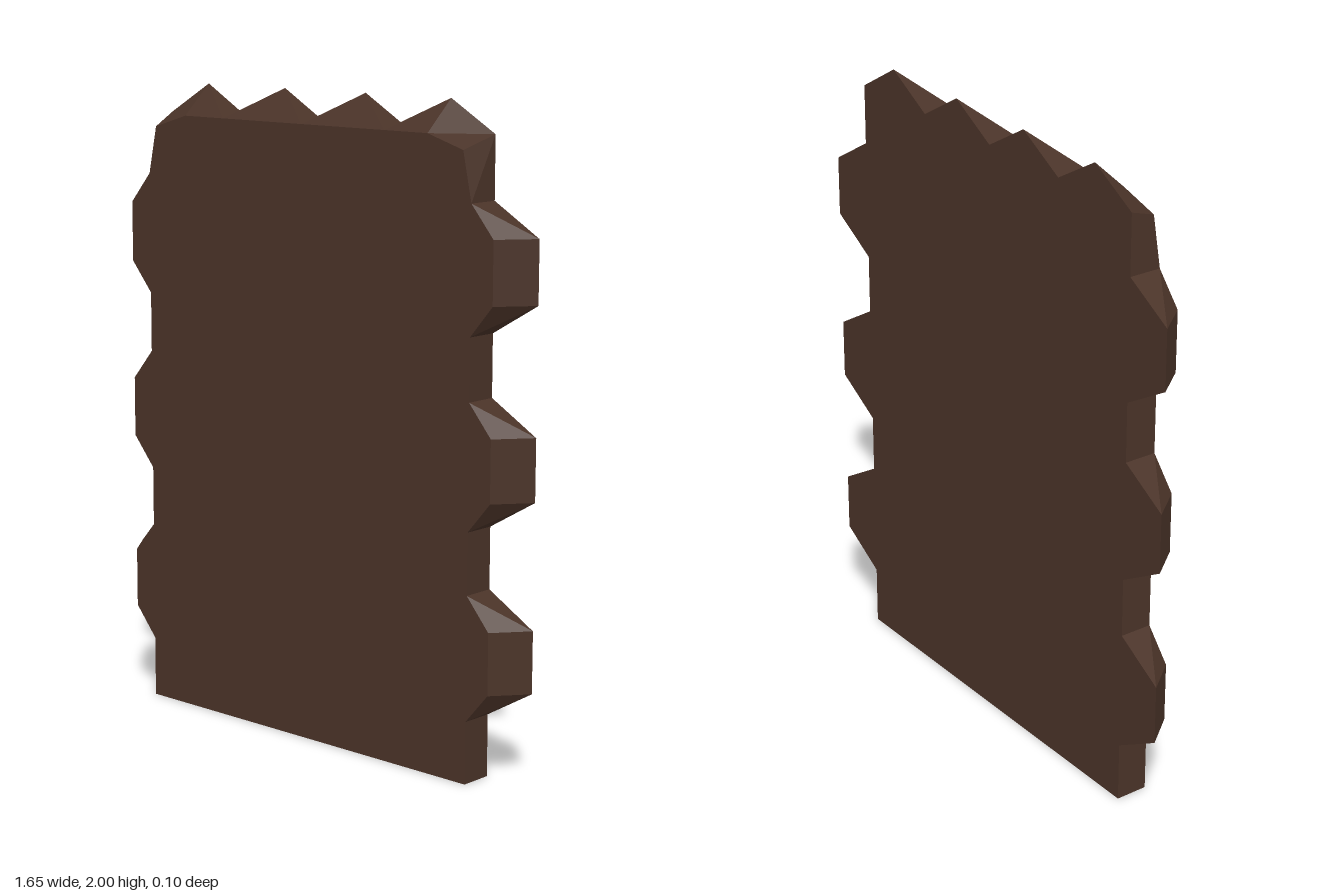
import * as THREE from 'three';

const DEPTH = 0.052; // half thickness

// Right half of the outline, bottom to top centre: [back x, back y, front x, front y]
function halfOutline() {
  const pts = [];
  const notch = (x, y) => pts.push([x, y, x, y]);
  notch(0.66, 0);
  // three bevelled side teeth
  for (let i = 0; i < 3; i++) {
    const y = 0.192 + i * 0.571;
    notch(0.66, y);
    pts.push([0.824, y + 0.096, 0.742, y + 0.096]);
    pts.push([0.824, y + 0.286, 0.742, y + 0.286]);
    notch(0.66, y + 0.382);
  }
  // top corner and roof-like teeth
  pts.push([0.66, 1.905, 0.628, 1.865]);
  pts.push([0.495, 2, 0.495, 1.905]);
  notch(0.33, 1.905);
  pts.push([0.165, 2, 0.165, 1.905]);
  notch(0, 1.905);
  return pts;
}

function slabGeometry() {
  const half = halfOutline();
  const mirrored = half.slice(0, -1).reverse().map(([a, b, c, d]) => [-a, b, -c, d]);
  const loop = half.concat(mirrored);
  const back = loop.map(p => new THREE.Vector3(p[0], p[1], -DEPTH));
  const front = loop.map(p => new THREE.Vector3(p[2], p[3], DEPTH));
  const isNotch = p => p[0] === p[2] && p[1] === p[3];
  const tris = [];

  // front and back faces
  const cap = (ring, flip) => {
    const flat = ring.map(v => new THREE.Vector2(v.x, v.y));
    for (const [a, b, c] of THREE.ShapeUtils.triangulateShape(flat, [])) {
      if (flip) tris.push(ring[a], ring[c], ring[b]);
      else tris.push(ring[a], ring[b], ring[c]);
    }
  };
  cap(front, false);
  cap(back, true);

  // rim, split so each bevel folds from the notch to the tooth tip
  for (let i = 0; i < loop.length; i++) {
    const j = (i + 1) % loop.length;
    if (isNotch(loop[i])) {
      tris.push(front[i], back[i], back[j], front[i], back[j], front[j]);
    } else {
      tris.push(front[i], back[i], front[j], back[i], back[j], front[j]);
    }
  }
  const geometry = new THREE.BufferGeometry().setFromPoints(tris);
  geometry.computeVertexNormals();
  return geometry;
}

export function createModel() {
  const group = new THREE.Group();
  group.name = 'toothedPanel';
  const darkBrown = new THREE.MeshStandardMaterial({ color: 0x4a3328, flatShading: true });
  darkBrown.name = 'dark brown';
  const slab = new THREE.Mesh(slabGeometry(), darkBrown);
  slab.name = 'toothedSlab';
  group.add(slab);
  return group;
}
